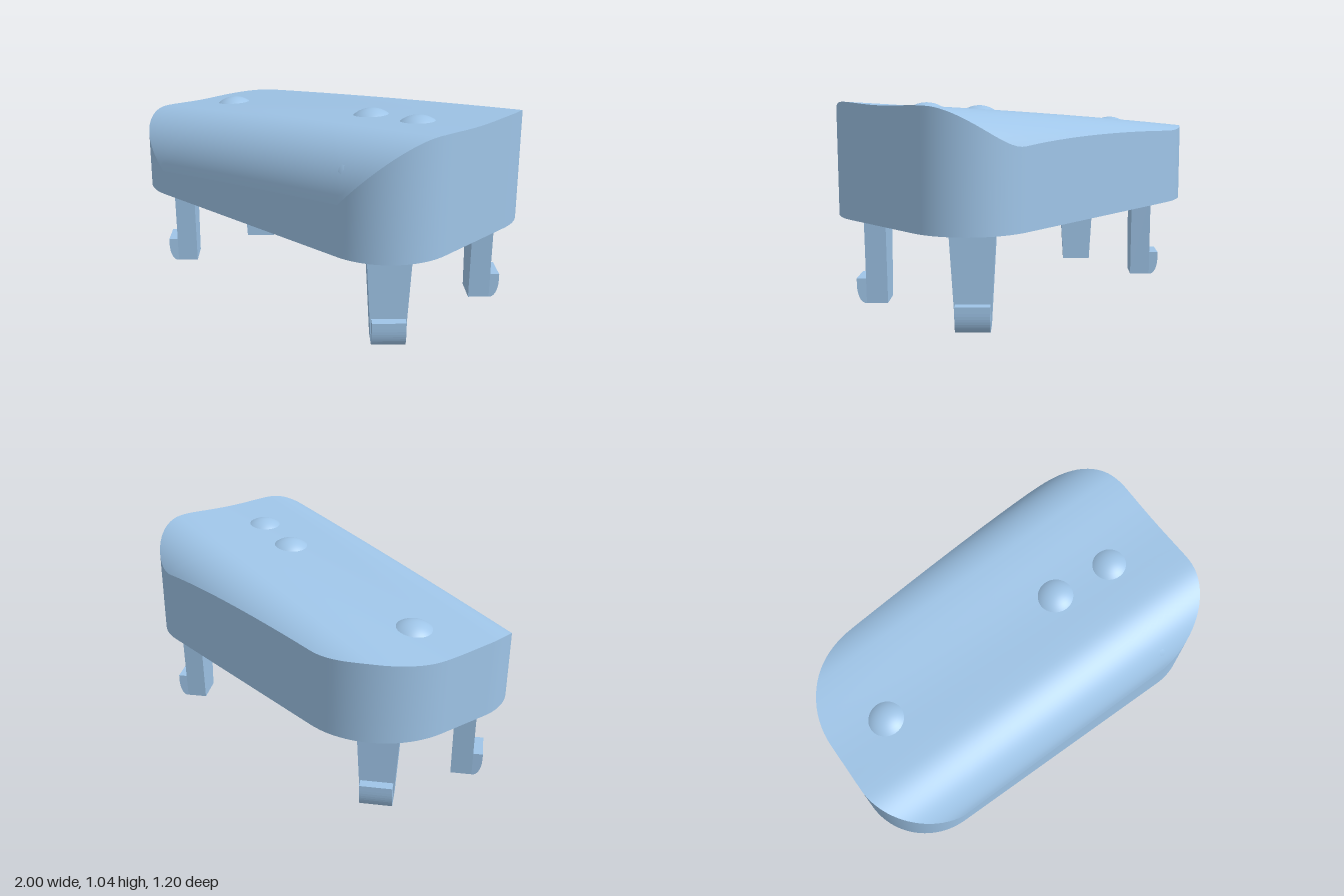
import * as THREE from 'three';

const RIM = 0.465;    // underside of the cap
const WALL = 0.1;     // wall thickness
const BALL = 0.145;

// height of the top: a gentle slope along x
const ridge = x => 0.9535 + 0.0915 * x + 0.009 * (1 - x * x);

// full top surface: shallow trough in the middle, rounded shoulders front and back
function topY(x, z) {
  const dip = Math.abs(z) < 0.3 ? 0.009 * (1 - (z / 0.3) ** 2) ** 2 : 0;
  const over = Math.min(0.3, Math.max(0, z > 0 ? z - 0.3 : -z - 0.335));
  return ridge(x) - dip - (0.3 - Math.sqrt(0.09 - over * over));
}

// footprint loop of [x, z] points, moved inward by inset
function outline(inset) {
  const slant = 264.8;
  const corners = [
    [0.65, 0.25, 0.35, 0, 90],
    [-0.65, 0.25, 0.35, 90, 180],
    [-0.54, -0.03, 0.46, 180, slant],
    [0.65, -0.25, 0.35, slant, 360],
  ];
  const at = ([cx, cz, r], deg) => {
    const a = THREE.MathUtils.degToRad(deg);
    return [cx + (r - inset) * Math.cos(a), cz + (r - inset) * Math.sin(a)];
  };
  const pts = [];
  corners.forEach((c, i) => {
    for (let k = 0; k <= 20; k++) pts.push(at(c, c[3] + (c[4] - c[3]) * k / 20));
    const next = corners[(i + 1) % 4];
    const p = at(c, c[4]), q = at(next, next[3]);
    for (let k = 1; k < 16; k++) {
      const t = k / 16;
      pts.push([p[0] + (q[0] - p[0]) * t, p[1] + (q[1] - p[1]) * t]);
    }
  });
  return pts;
}

// skin a list of equal-length closed loops
function loft(rows) {
  const n = rows[0].length, index = [];
  for (let r = 0; r < rows.length - 1; r++) {
    for (let i = 0; i < n; i++) {
      const j = (i + 1) % n;
      const a = r * n + i, b = r * n + j, c = a + n, d = b + n;
      index.push(a, c, b, b, c, d);
    }
  }
  const g = new THREE.BufferGeometry();
  g.setAttribute('position', new THREE.Float32BufferAttribute(rows.flat(2), 3));
  g.setIndex(index);
  g.computeVertexNormals();
  return g;
}

const level = (loop, y) => loop.map(([x, z]) => [x, y, z]);

// rings shrinking from a footprint to its middle, draped on the top surface
function drape(loop, drop) {
  const rows = [];
  for (let k = 0; k <= 32; k++) {
    const t = Math.max(0.001, 1 - (k / 32) ** 1.5);
    rows.push(loop.map(([x, z]) => [x * t, topY(x * t, z * t) - drop, z * t]));
  }
  return rows;
}

// tapered clip leg with a hook facing local +z
function makeLeg(material) {
  const leg = new THREE.Group();
  const top = 0.468, hi = 0.109, lo = 0.082;
  const face = new THREE.Shape([
    new THREE.Vector2(-lo, 0), new THREE.Vector2(lo, 0),
    new THREE.Vector2(hi, top), new THREE.Vector2(-hi, top),
  ]);
  const body = new THREE.Mesh(
    new THREE.ExtrudeGeometry(face, { depth: 0.11, bevelEnabled: false }).translate(0, 0, -0.11), material);
  body.name = 'legBody';

  const side = new THREE.Shape();
  side.moveTo(-0.01, 0);
  side.lineTo(0.008, 0);
  side.bezierCurveTo(0.035, 0.005, 0.05, 0.05, 0.05, 0.1);
  side.lineTo(0.05, 0.13);
  side.lineTo(-0.01, 0.13);
  const w = 2 * lo;
  const hook = new THREE.Mesh(
    new THREE.ExtrudeGeometry(side, { depth: w, bevelEnabled: false, curveSegments: 10 })
      .rotateY(-Math.PI / 2).translate(w / 2, 0, 0), material);
  hook.name = 'legHook';
  leg.add(body, hook);
  return leg;
}

export function createModel() {
  const model = new THREE.Group();
  model.name = 'buttonCap';
  const plastic = new THREE.MeshStandardMaterial({ color: 0x9fc5e8 });
  plastic.name = 'lightBlue';
  const add = (name, geometry, parent = model) => {
    const mesh = new THREE.Mesh(geometry, plastic);
    mesh.name = name;
    parent.add(mesh);
    return mesh;
  };

  // hollow cap
  const outer = outline(0), inner = outline(WALL);
  const cap = new THREE.Group();
  cap.name = 'cap';
  model.add(cap);
  const roof = drape(outer, 0), ceiling = drape(inner, 0.09).reverse();
  add('outerWall', loft([level(outer, RIM), roof[0]]), cap);
  add('topSurface', loft(roof), cap);
  add('bottomRim', loft([level(inner, RIM), level(outer, RIM)]), cap);
  add('innerWall', loft([ceiling[ceiling.length - 1], level(inner, RIM)]), cap);
  add('ceiling', loft(ceiling), cap);

  // central post under the ceiling
  add('centrePost', new THREE.CylinderGeometry(0.2, 0.2, 0.42, 48)).position.set(0.01, 0.685, 0.045);

  // balls that break through the top
  const ball = new THREE.SphereGeometry(BALL, 40, 28);
  [[-0.694, 0.03, 0.772], [0.355, 0.02, 0.872], [0.675, 0.05, 0.895]].forEach(([x, z, y]) => {
    add('topBall', ball).position.set(x, y, z);
  });

  // balls hidden inside, in a front and a back row
  for (const x of [-0.57, -0.27, 0.04, 0.34, 0.64]) {
    add('frontBall', ball).position.set(x, ridge(x) - 0.2 - 0.03 * x, 0.395 + 0.06 * x);
    add('backBall', ball).position.set(x, ridge(x) - 0.21, -0.35 - 0.05 * x);
  }

  // four clip legs, hooks pointing out to the corners
  const legs = [
    ['frontLeftLeg', 0.8, 0.4], ['frontRightLeg', -0.803, 0.4],
    ['backLeftLeg', 0.8, -0.43], ['backRightLeg', -0.765, -0.22],
  ];
  for (const [name, x, z] of legs) {
    const leg = makeLeg(plastic);
    leg.name = name;
    leg.position.set(x, 0, z);
    leg.rotation.y = Math.atan2(Math.sign(x), Math.sign(z));
    model.add(leg);
  }
  return model;
}
